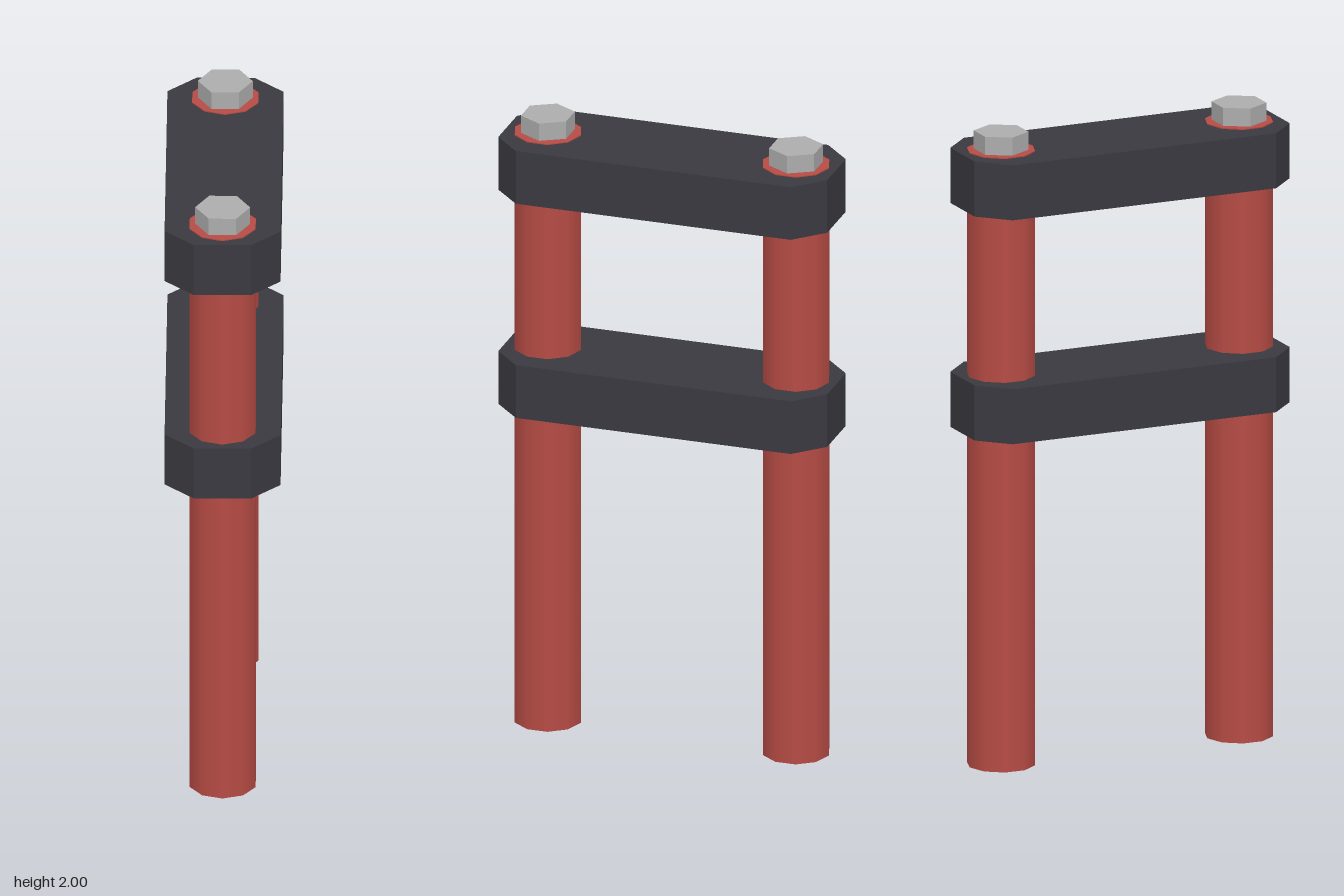
import * as THREE from 'three';

const red = new THREE.MeshStandardMaterial({ name: 'red tube', color: 0xb64b44 });
const dark = new THREE.MeshStandardMaterial({ name: 'dark clamp', color: 0x3a3940 });
const steel = new THREE.MeshStandardMaterial({ name: 'grey steel', color: 0xacacac });

function add(parent, name, geometry, material, x, y, z) {
  const mesh = new THREE.Mesh(geometry, material);
  mesh.name = name;
  mesh.position.set(x, y, z);
  parent.add(mesh);
}

// Bar with chamfered corners, extruded upward from y = 0
function clampGeometry(height) {
  const w = 0.177, l = 0.53, cw = 0.088, cl = 0.443;
  const outline = [[cw, -l], [w, -cl], [w, cl], [cw, l], [-cw, l], [-w, cl], [-w, -cl], [-cw, -l]];
  const shape = new THREE.Shape(outline.map(([x, y]) => new THREE.Vector2(x, y)));
  return new THREE.ExtrudeGeometry(shape, { depth: height, bevelEnabled: false }).rotateX(-Math.PI / 2);
}

export function createModel() {
  const model = new THREE.Group();
  model.name = 'forkClamp';

  // Upper and lower clamps joining the two tubes
  const clamp = clampGeometry(0.174);
  add(model, 'upperClamp', clamp, dark, 0, 1.766, 0);
  add(model, 'lowerClamp', clamp, dark, 0, 1.058, 0);

  // Ten-sided smooth tubes, each topped by a hexagonal bolt
  const tubeTop = 1.943;
  const tube = new THREE.CylinderGeometry(0.106, 0.106, tubeTop, 10);
  const bolt = new THREE.CylinderGeometry(0.084, 0.084, 2 - tubeTop, 6).rotateY(Math.PI / 6).toNonIndexed();
  bolt.computeVertexNormals();
  for (const [side, z] of [['front', 0.4], ['back', -0.4]]) {
    add(model, side + 'Tube', tube, red, 0, tubeTop / 2, z);
    add(model, side + 'Bolt', bolt, steel, 0, (2 + tubeTop) / 2, z);
  }
  return model;
}
